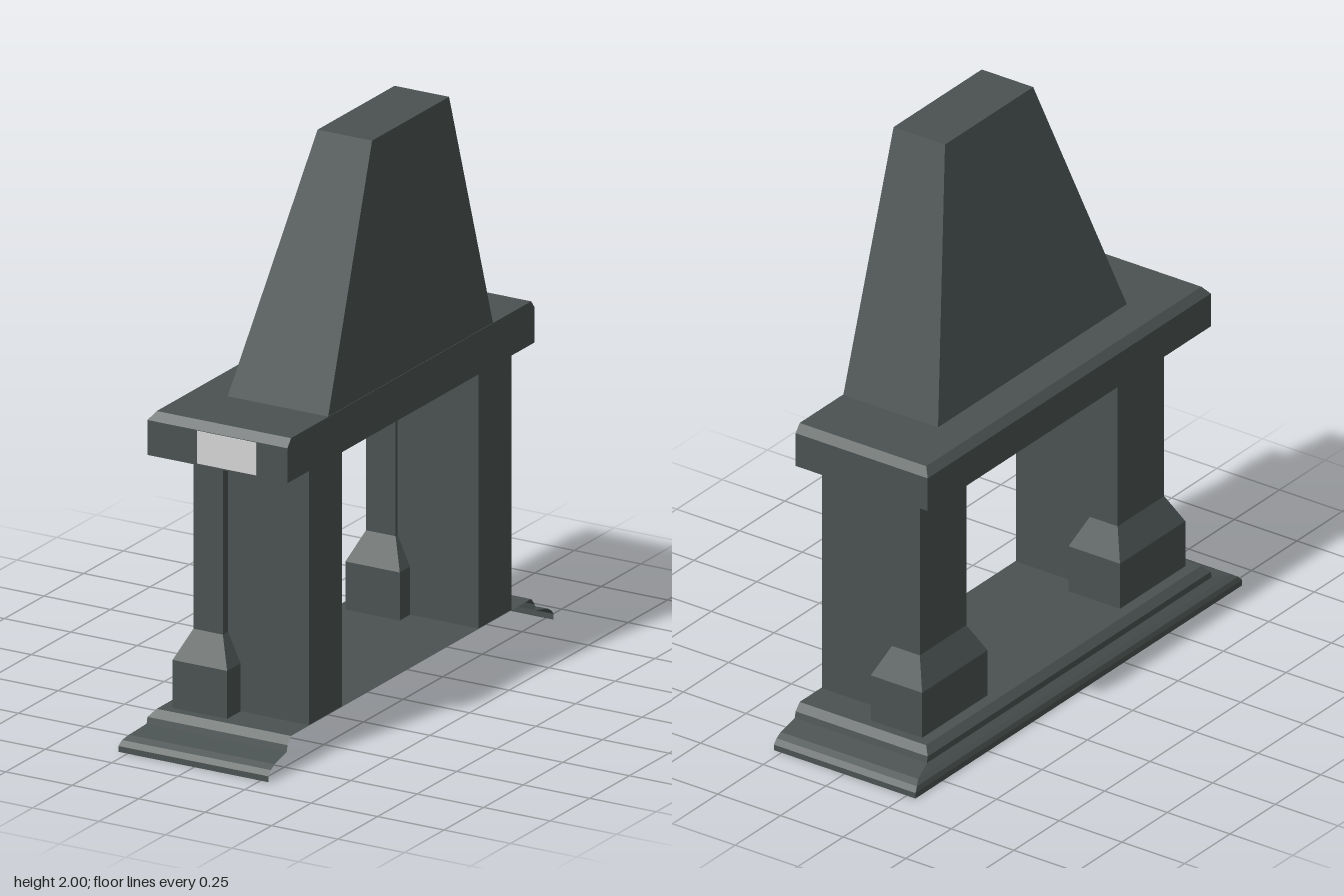
import * as THREE from 'three';

const BACK = 0.28;

// Stacks rectangular sections [x0, x1, zCentre, zHalf, y] into a faceted solid or shell
function loft(sections, { top = true, bottom = true, back = true } = {}) {
  const pos = [];
  const quad = (a, b, c, d) => pos.push(...a, ...b, ...c, ...a, ...c, ...d);
  const rings = sections.map(([x0, x1, zc, h, y]) => [
    [x0, y, zc - h], [x0, y, zc + h], [x1, y, zc + h], [x1, y, zc - h],
  ]);
  for (let i = 0; i < rings.length - 1; i++) {
    const lo = rings[i], hi = rings[i + 1];
    for (let k = 0; k < 4; k++) {
      if (k === 2 && !back) continue;
      const n = (k + 1) % 4;
      quad(lo[k], lo[n], hi[n], hi[k]);
    }
  }
  if (top) quad(...rings[rings.length - 1]);
  if (bottom) quad(...[...rings[0]].reverse());
  const geo = new THREE.BufferGeometry();
  geo.setAttribute('position', new THREE.Float32BufferAttribute(pos, 3));
  geo.computeVertexNormals();
  return geo;
}

export function createModel() {
  const group = new THREE.Group();
  const stone = new THREE.MeshStandardMaterial({ color: 0x4a5251, side: THREE.DoubleSide });
  stone.name = 'dark stone';
  const pale = new THREE.MeshStandardMaterial({ color: 0xd4d4d4 });
  pale.name = 'pale plate';

  const add = (name, geo, mat = stone) => {
    const mesh = new THREE.Mesh(geo, mat);
    mesh.name = name;
    group.add(mesh);
    return mesh;
  };

  // Moulded hearth: a shell, open underneath and at the back
  const steps = [
    [-0.285, 0.9, 0], [-0.285, 0.9, 0.02], [-0.28, 0.885, 0.037], [-0.268, 0.862, 0.05],
    [-0.247, 0.785, 0.068], [-0.247, 0.78, 0.09], [-0.225, 0.758, 0.115],
  ];
  add('hearth', loft(steps.map(([x, z, y]) => [x, BACK, 0, z, y]), { bottom: false, back: false }));

  // Side walls with flared columns in front of them
  for (const [side, s] of [['left', 1], ['right', -1]]) {
    add(side + 'Wall', loft([
      [-0.06, 0.277, s * 0.535, 0.105, 0.115],
      [-0.06, 0.277, s * 0.535, 0.105, 0.99],
    ], { top: false, bottom: false }));
    const zc = s * 0.545;
    add(side + 'Column', loft([
      [-0.185, 0.02, zc, 0.18, 0.115],
      [-0.185, 0.02, zc, 0.18, 0.28],
      [-0.138, -0.027, zc, 0.128, 0.38],
      [-0.138, -0.027, zc, 0.128, 0.99],
    ], { top: false, bottom: false }));
  }

  // Mantel slab with a bevelled top edge
  add('mantel', loft([
    [-0.247, BACK, 0, 0.78, 0.99],
    [-0.247, BACK, 0, 0.78, 1.11],
    [-0.225, BACK, 0, 0.758, 1.138],
  ]));

  // Tapered chimney hood, flush with the back
  add('hood', loft([
    [-0.1, 0.278, 0, 0.52, 1.138],
    [0.073, 0.278, 0, 0.243, 2],
  ], { bottom: false }));

  // Small plate on the end of the mantel
  const plate = add('endPlate', new THREE.BoxGeometry(0.222, 0.112, 0.004), pale);
  plate.position.set(0.052, 1.052, 0.781);

  return group;
}
